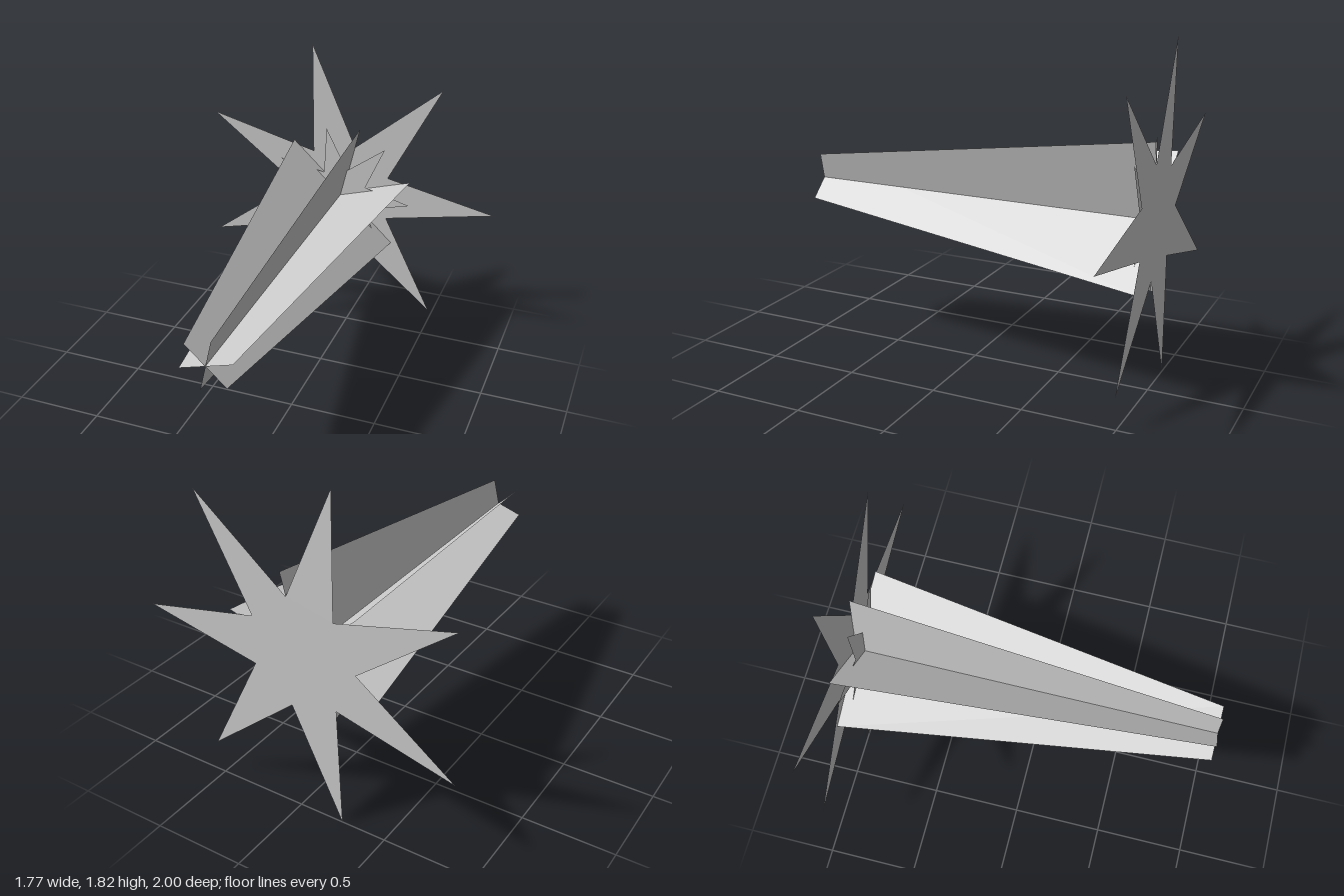
import * as THREE from 'three';

const CENTER_X = -0.046;
const CENTER_Y = 0.918;

export function createModel() {
  const model = new THREE.Group();
  model.name = 'starburst';
  const grey = new THREE.MeshStandardMaterial({ color: 0xcccccc, side: THREE.DoubleSide });
  grey.name = 'light grey';

  // Flat seven-pointed star, one point along +x
  function addStar(name, outer, inner, z) {
    const points = [];
    for (let i = 0; i < 14; i++) {
      const r = i % 2 ? inner : outer;
      const a = (i * Math.PI) / 7;
      points.push(new THREE.Vector2(r * Math.cos(a), r * Math.sin(a)));
    }
    const star = new THREE.Mesh(new THREE.ShapeGeometry(new THREE.Shape(points)), grey);
    star.name = name;
    star.position.set(CENTER_X, CENTER_Y, z);
    model.add(star);
  }
  addStar('largeStar', 0.932, 0.31, -1);
  addStar('smallStar', 0.431, 0.172, -0.95);

  // Three tapered planes crossing on the long axis, narrow end at the front
  const finShape = new THREE.Shape([
    new THREE.Vector2(-0.435, -1),
    new THREE.Vector2(0.435, -1),
    new THREE.Vector2(0.147, 1),
    new THREE.Vector2(-0.147, 1),
  ]);
  const finGeometry = new THREE.ShapeGeometry(finShape);
  finGeometry.rotateX(Math.PI / 2); // length runs along z
  for (let i = 0; i < 3; i++) {
    const fin = new THREE.Mesh(finGeometry, grey);
    fin.name = `beamFin${i + 1}`;
    fin.position.set(CENTER_X, CENTER_Y, 0);
    fin.rotation.z = THREE.MathUtils.degToRad(17.1 + 60 * i);
    model.add(fin);
  }
  return model;
}
